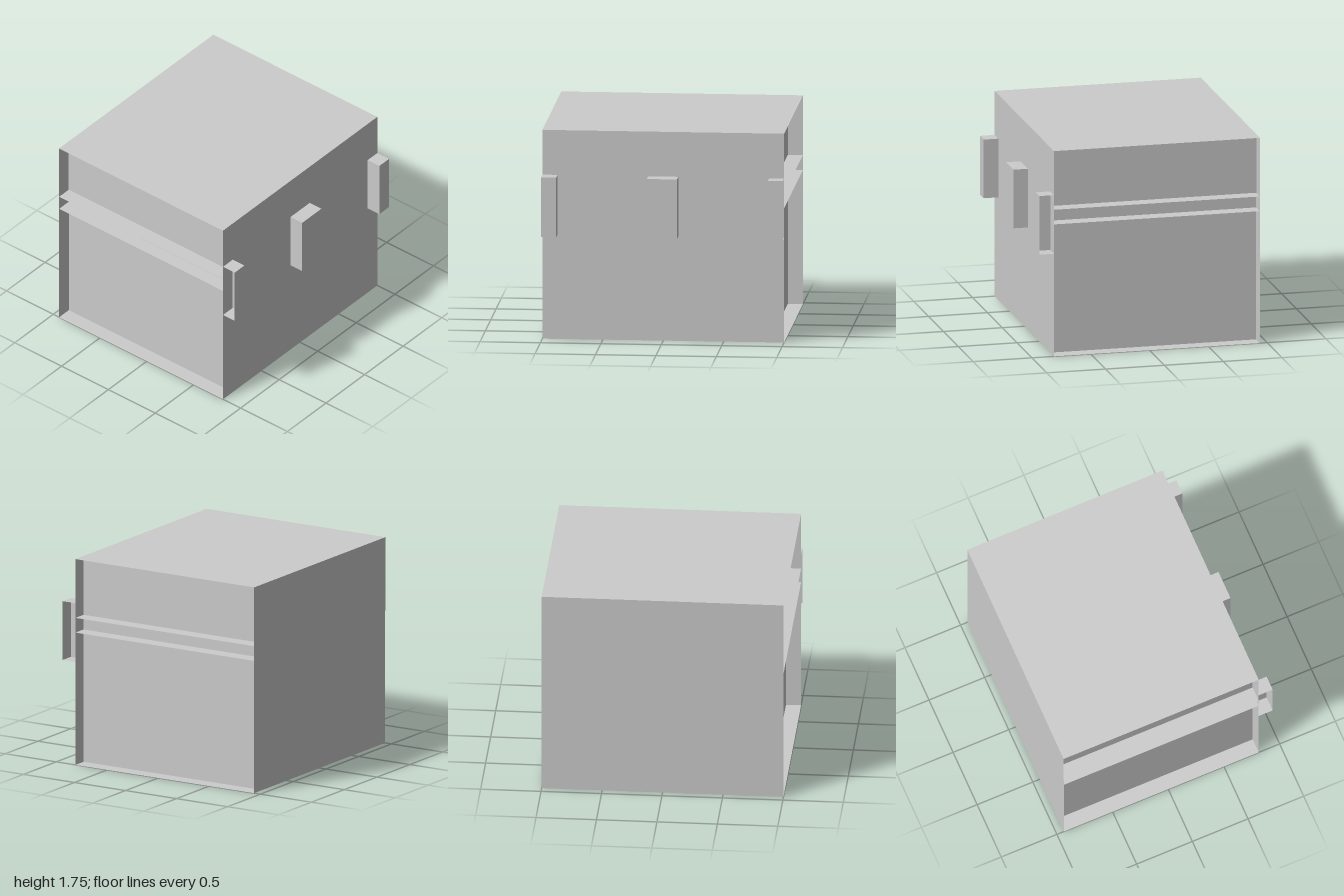
import * as THREE from 'three';

const material = new THREE.MeshStandardMaterial({ color: 0xcccccc, side: THREE.DoubleSide, flatShading: true });
const U = 0.125; // one module of the design
const FRONT = 0.8125, BACK = -0.9375;

function addMesh(group, geometry, name) {
  const mesh = new THREE.Mesh(geometry, material);
  mesh.name = name;
  group.add(mesh);
}

// Thin-walled box whose two end panels are set in from the rims
function shell(y0, y1, back) {
  const geometry = new THREE.BoxGeometry(2, y1 - y0, FRONT - back);
  const position = geometry.attributes.position;
  // the first eight vertices belong to the end panels alone
  for (let i = 0; i < 8; i++) position.setX(i, Math.sign(position.getX(i)) * (1 - U));
  return geometry.translate(0, (y0 + y1) / 2, (FRONT + back) / 2);
}

// Clasp box on the front; the end flush with the chest's rim is left open
function clasp(x, width, openSide) {
  const geometry = new THREE.BoxGeometry(width, 4 * U, U);
  if (openSide) {
    const faces = Array.from(geometry.index.array);
    faces.splice(openSide > 0 ? 0 : 6, 6);
    geometry.setIndex(faces);
    geometry.clearGroups();
  }
  return geometry.translate(x, 9 * U, FRONT + U / 2);
}

export function createModel() {
  const group = new THREE.Group();
  group.name = 'chest';

  // Body, and a lid that overlaps its top by one module
  addMesh(group, shell(0, 10 * U, BACK), 'body');
  addMesh(group, shell(9 * U, 14 * U, BACK - 0.002), 'lid');

  // Full clasp in the middle, half clasps at both ends
  addMesh(group, clasp(0, 2 * U, 0), 'middleClasp');
  addMesh(group, clasp(1 - U / 2, U, 1), 'leftClasp');
  addMesh(group, clasp(-1 + U / 2, U, -1), 'rightClasp');

  return group;
}
